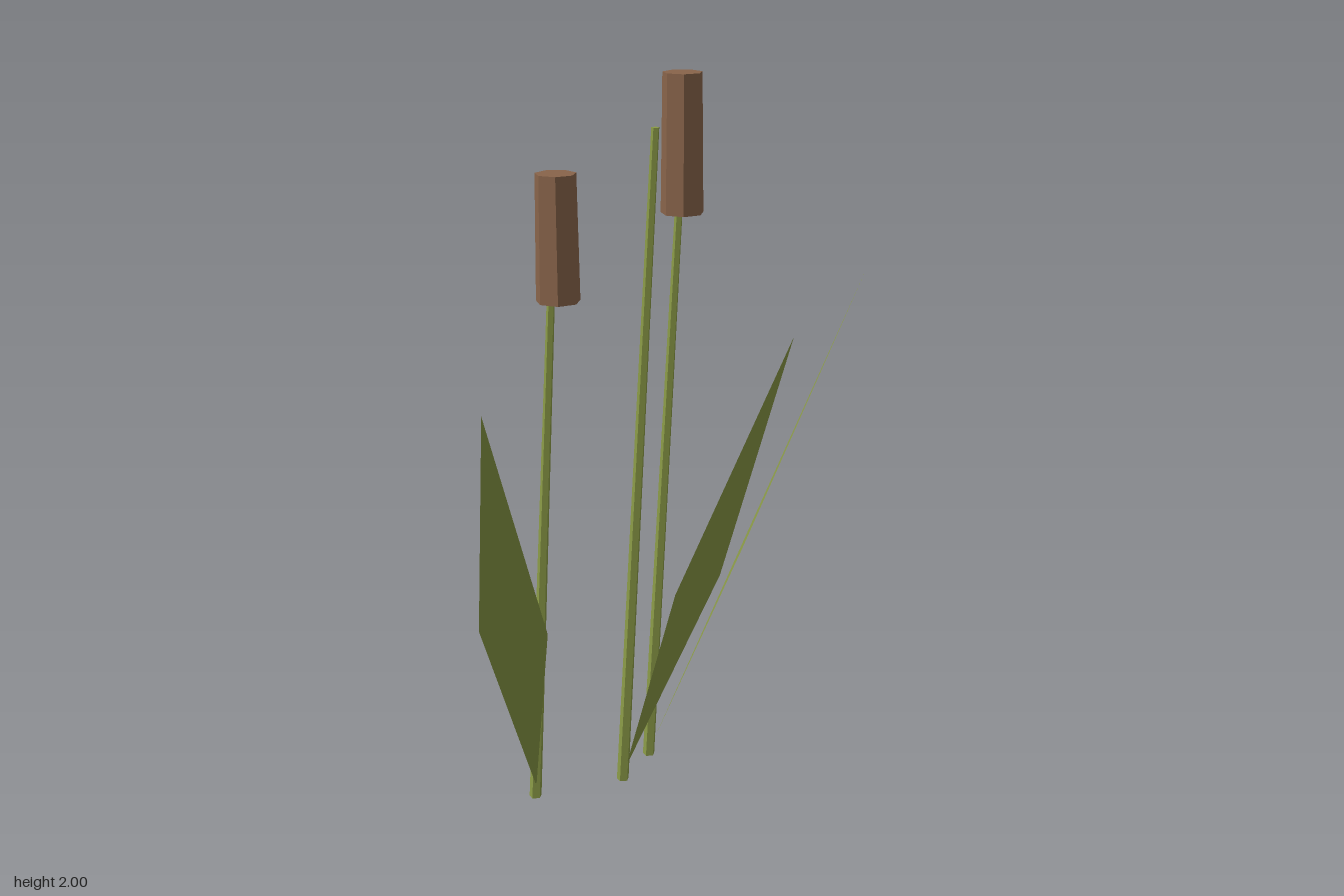
import * as THREE from 'three';

const green = new THREE.MeshStandardMaterial({ color: 0x8a9a46, flatShading: true });
green.name = 'reedGreen';
const leafGreen = green.clone();
leafGreen.name = 'leafGreen';
leafGreen.side = THREE.DoubleSide;
const brown = new THREE.MeshStandardMaterial({ color: 0x88644a, flatShading: true });
brown.name = 'seedHeadBrown';

// Horizontal drift of every stalk per unit of height
const LEAN_X = 0.051, LEAN_Z = -0.0145;

// Upright prism with one corner towards -x
function prism(name, rTop, rBottom, height, sides, material) {
  const geo = new THREE.CylinderGeometry(rTop, rBottom, height, sides, 1, false, -Math.PI / 2);
  geo.translate(0, height / 2, 0);
  const mesh = new THREE.Mesh(geo, material);
  mesh.name = name;
  return mesh;
}

// Tapered five-sided stalk, sheared so that both ends stay level
function stalk(x, z, height) {
  const mesh = prism('stalk', 0.011, 0.018, height, 5, green);
  mesh.geometry.applyMatrix4(new THREE.Matrix4().set(
    1, LEAN_X, 0, 0,
    0, 1, 0, 0,
    0, LEAN_Z, 1, 0,
    0, 0, 0, 1));
  mesh.geometry.computeVertexNormals();
  mesh.position.set(x, 0, z);
  return mesh;
}

// Seven-sided seed head, slightly wider at the bottom
function seedHead(x, z, bottom, top) {
  const mesh = prism('seedHead', 0.054, 0.059, top - bottom, 7, brown);
  mesh.position.set(x, bottom, z);
  return mesh;
}

// Diamond blade with a straight, slightly raised midrib
function leaf(base, tip) {
  const a = new THREE.Vector3(...base), b = new THREE.Vector3(...tip);
  const mid = a.clone().lerp(b, 0.475);
  mid.y -= 0.007;
  const side = new THREE.Vector3(b.z - a.z, 0, a.x - b.x).setLength(0.09);
  const l = mid.clone().add(side), r = mid.clone().sub(side);
  const geo = new THREE.BufferGeometry().setFromPoints([a, l, b, a, b, r]);
  geo.computeVertexNormals();
  // Make the upper surface the front
  if (geo.attributes.normal.getY(0) < 0) {
    geo.setFromPoints([a, b, l, a, r, b]);
    geo.computeVertexNormals();
  }
  const mesh = new THREE.Mesh(geo, leafGreen);
  mesh.name = 'leaf';
  return mesh;
}

export function createModel() {
  const group = new THREE.Group();
  group.name = 'reeds';
  const reeds = [
    { name: 'frontReed', x: -0.40, z: -0.096, height: 1.5, head: [-0.308, -0.123, 1.45, 1.78],
      base: [-0.395, 0.037, -0.088], tip: [-0.348, 1.33, 0.484] },
    { name: 'middleReed', x: -0.173, z: -0.235, height: 1.88,
      base: [-0.165, 0.037, -0.235], tip: [0.324, 1.44, 0.077] },
    { name: 'backReed', x: -0.126, z: -0.395, height: 1.68, head: [-0.034, -0.424, 1.63, 2.0],
      base: [-0.115, 0.037, -0.398], tip: [0.461, 1.495, -0.398] },
  ];
  for (const r of reeds) {
    const reed = new THREE.Group();
    reed.name = r.name;
    reed.add(stalk(r.x, r.z, r.height), leaf(r.base, r.tip));
    if (r.head) reed.add(seedHead(...r.head));
    group.add(reed);
  }
  return group;
}
